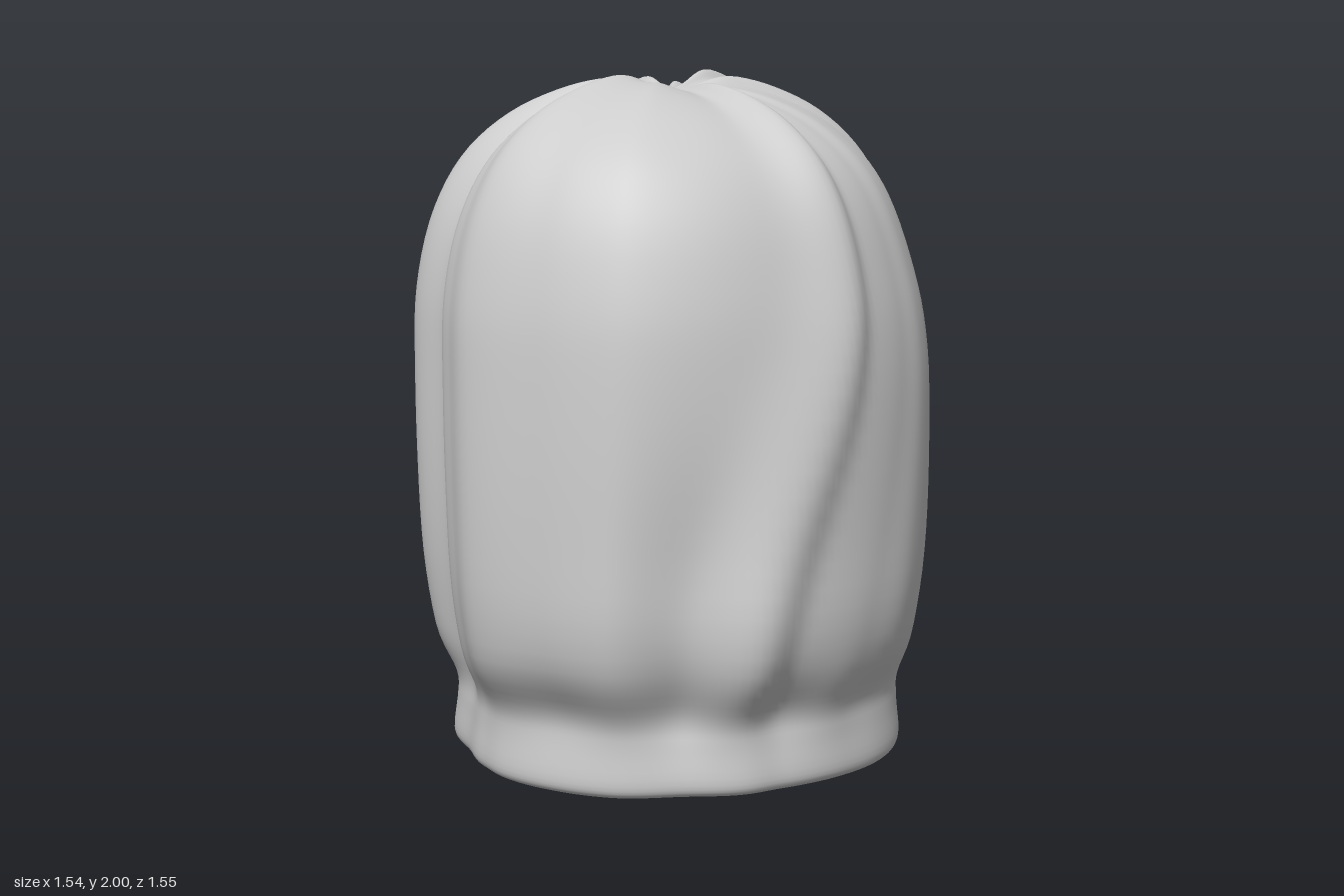
import * as THREE from 'three';

const SEGS = 180, ROWS = 60;

// Plan outline of the gathered cloth as [x, z] pairs, one per ridge or valley
const OUTLINE = [
  [0.08, 0.76], [0.2, 0.69], [0.42, 0.59], [0.58, 0.46], [0.68, 0.3], [0.74, 0.12], [0.73, 0],
  [0.77, -0.17], [0.72, -0.27], [0.6, -0.48], [0.51, -0.64], [0.34, -0.65], [0.14, -0.75],
  [0, -0.72], [-0.2, -0.76], [-0.4, -0.6], [-0.6, -0.5], [-0.68, -0.25], [-0.775, -0.1],
  [-0.7, 0.1], [-0.72, 0.27], [-0.69, 0.41], [-0.5, 0.59], [-0.36, 0.68], [-0.12, 0.68],
];
const MEAN = 0.745;
const TAU = Math.PI * 2;
const folds = OUTLINE.map(([x, z]) => [(Math.atan2(x, z) + TAU) % TAU, Math.hypot(x, z) / MEAN - 1])
  .sort((a, b) => a[0] - b[0]);

// Fold depth at an angle measured from the front towards +x
function foldAt(angle) {
  const a = ((angle % TAU) + TAU) % TAU, n = folds.length;
  let i = folds.findIndex((f) => f[0] > a);
  if (i < 0) i = 0;
  const p = folds[(i + n - 1) % n], q = folds[i];
  const t = ((a - p[0] + TAU) % TAU) / ((q[0] - p[0] + TAU) % TAU);
  return THREE.MathUtils.lerp(p[1], q[1], t * t * (3 - 2 * t));
}

// Outer section [radius, height], from the hem to the crown
const OUTER = [
  [0.6, 0.01], [0.645, 0.015], [0.663, 0.05], [0.652, 0.15], [0.65, 0.23], [0.69, 0.36], [0.725, 0.6],
  [0.738, 0.9], [0.737, 1.2], [0.715, 1.4], [0.657, 1.6], [0.57, 1.75], [0.445, 1.86],
  [0.3, 1.93], [0.17, 1.96], [0.07, 1.955], [0, 1.95],
];
// Inner section, from the crown down to the hem
const INNER = [
  [0, 1.925], [0.15, 1.933], [0.29, 1.907], [0.43, 1.84], [0.55, 1.735], [0.632, 1.59], [0.688, 1.395],
  [0.71, 1.2], [0.712, 0.9], [0.699, 0.6], [0.663, 0.36], [0.618, 0.23], [0.605, 0.1], [0.58, 0.03],
];

function section() {
  const toCurve = (pts) => new THREE.SplineCurve(pts.map(([r, y]) => new THREE.Vector2(r, y)));
  return [...toCurve(INNER).getPoints(ROWS), ...toCurve(OUTER).getPoints(ROWS + 12)];
}

function clothGeometry() {
  const { smoothstep, lerp } = THREE.MathUtils;
  const pos = [], index = [], rows = section();
  rows.forEach((p, row) => {
    const crown = smoothstep(p.y, 1.35, 1.9);
    const rise = smoothstep(p.y, 0.15, 0.4);
    const zShift = -0.02 * (1 - rise) - 0.035 * smoothstep(p.y, 0.7, 1.5);
    const xShift = -0.02 * smoothstep(p.y, 1.1, 1.6);
    const waist = Math.exp(-(((p.y - 0.25) / 0.11) ** 2));
    const belly = Math.exp(-(((p.y - 0.45) / 0.2) ** 2));
    for (let s = 0; s < SEGS; s++) {
      const a = (s / SEGS) * TAU;
      const front = Math.max(0, Math.cos(a)), back = Math.max(0, -Math.cos(a + 0.4));
      // Folds lean sideways as they rise: strongly at the front, a little at the back
      const climb = smoothstep(p.y, 0.25, 1.6);
      const lean = climb * (0.5 * Math.max(0, Math.cos(a - 0.5)) ** 4 - 0.08 * back);
      const flatten = 1 - 0.4 * front ** 2 * smoothstep(p.y, 0.5, 1.1);
      const f = foldAt(a - lean) * flatten;
      // The back runs down to the hem with hardly any waist
      const depth = lerp(0.3 + 0.4 * back, 1, rise) + 0.1 * crown;
      // Small puckers where the cloth gathers above the hem, and slack cloth just over them
      const pucker = waist * (0.03 * back + 0.01 * front * Math.sin(a * 11 + Math.sin(a * 3) + 1));
      const slack = belly * (0.035 * front ** 2 + 0.03 * back ** 2);
      const r = Math.max(0, p.x) * (1 + f * depth) + pucker + slack * rise;
      const lift = crown * f * 0.5 * smoothstep(p.x, 0, 0.2);
      const hem = 0.006 * Math.sin(a * 3 + 0.6) * (1 - smoothstep(p.y, 0, 0.3));
      pos.push(r * Math.sin(a) + xShift, p.y + lift + hem, r * Math.cos(a) + zShift);
      if (row < rows.length - 1) {
        const i = row * SEGS + s, j = row * SEGS + ((s + 1) % SEGS);
        index.push(i, j, i + SEGS, j, j + SEGS, i + SEGS);
      }
    }
  });
  const g = new THREE.BufferGeometry();
  g.setAttribute('position', new THREE.Float32BufferAttribute(pos, 3));
  g.setIndex(index);
  // Stand on the ground
  g.computeBoundingBox();
  g.translate(0, -g.boundingBox.min.y, 0);
  g.computeVertexNormals();
  return g;
}

export function createModel() {
  const group = new THREE.Group();
  group.name = 'knitHat';
  const material = new THREE.MeshStandardMaterial({ color: 0xcccccc, side: THREE.DoubleSide });
  const cloth = new THREE.Mesh(clothGeometry(), material);
  cloth.name = 'gatheredCap';
  group.add(cloth);
  return group;
}
